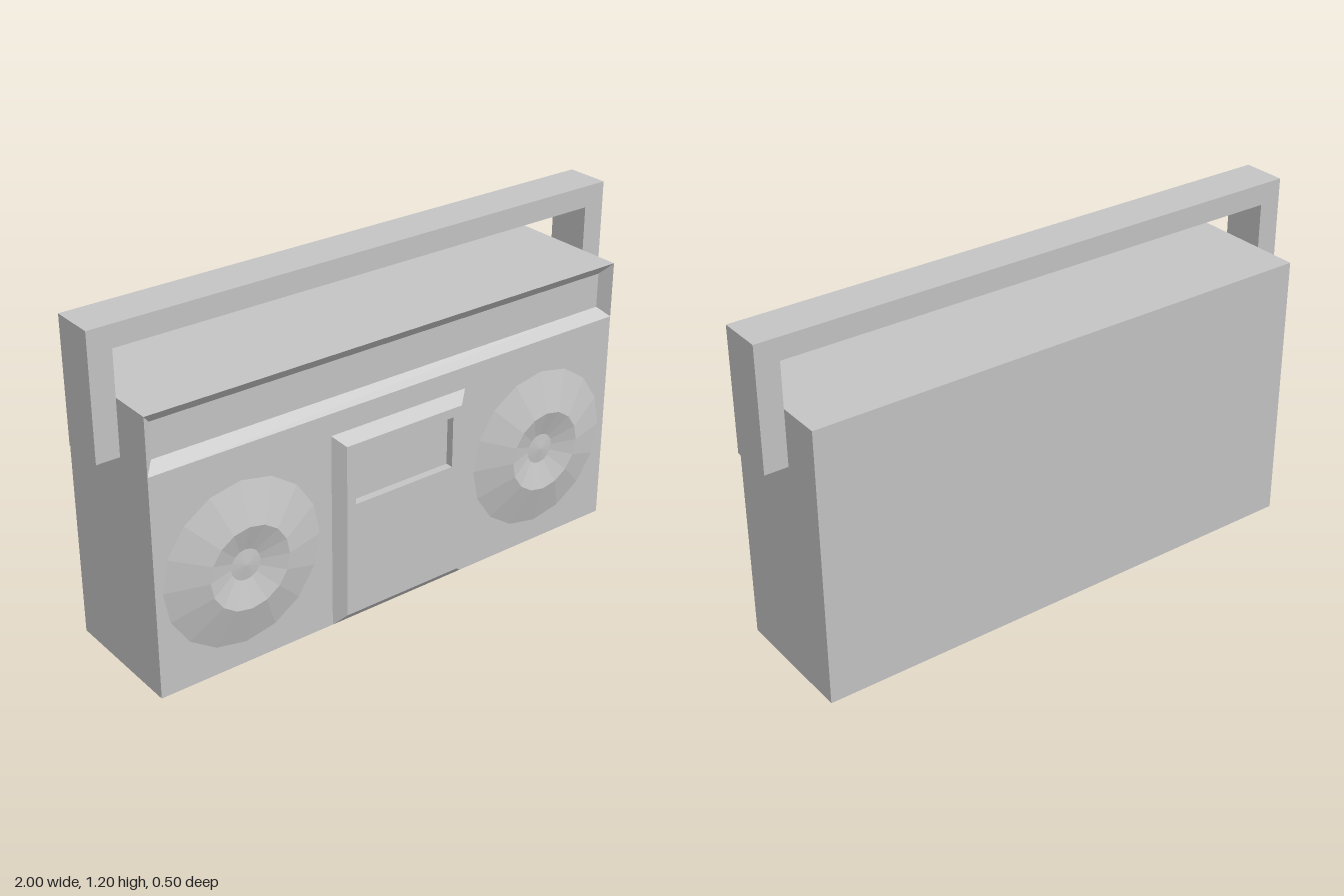
import * as THREE from 'three';

// Joins rectangles [x0, x1, y0, y1, z] into a flat-faced skin, closed at the last one.
function loftRects(rects, closeBack) {
  const pos = [];
  const corners = ([x0, x1, y0, y1, z]) =>
    [[x0, y0, z], [x1, y0, z], [x1, y1, z], [x0, y1, z]].map((p) => new THREE.Vector3(...p));
  const tri = (a, b, c) => {
    const area = b.clone().sub(a).cross(c.clone().sub(a)).length();
    if (area > 1e-9) for (const p of [a, b, c]) pos.push(p.x, p.y, p.z);
  };
  const quad = (a, b, c, d) => { tri(a, b, c); tri(a, c, d); };
  const rings = rects.map(corners);
  for (let r = 0; r < rings.length - 1; r++) {
    const a = rings[r], b = rings[r + 1];
    for (let i = 0; i < 4; i++) {
      const j = (i + 1) % 4;
      quad(a[i], a[j], b[j], b[i]);
    }
  }
  quad(...rings[rings.length - 1]);
  if (closeBack) quad(...rings[0].slice().reverse());
  const geo = new THREE.BufferGeometry();
  geo.setAttribute('position', new THREE.Float32BufferAttribute(pos, 3));
  geo.computeVertexNormals();
  return geo;
}

export function createModel() {
  const group = new THREE.Group();
  const grey = new THREE.MeshStandardMaterial({ color: 0xc4c4c4, flatShading: true });
  grey.name = 'light grey';
  const add = (name, geo) => {
    const mesh = new THREE.Mesh(geo, grey);
    mesh.name = name;
    group.add(mesh);
    return mesh;
  };

  // Case with a bevelled recess along the top of the front
  add('case', loftRects([
    [-0.92, 0.92, 0, 0.965, -0.25],
    [-0.92, 0.92, 0, 0.965, 0.21],
    [-0.92, 0.92, 0.77, 0.965, 0.21],
    [-0.885, 0.885, 0.803, 0.925, 0.175],
  ], true));

  // Raised cassette panel with a sunken window
  add('cassettePanel', loftRects([
    [-0.27, 0.27, 0, 0.693, 0.21],
    [-0.232, 0.232, 0.036, 0.655, 0.24],
    [-0.197, 0.197, 0.44, 0.622, 0.24],
    [-0.197, 0.197, 0.44, 0.622, 0.212],
  ], false));

  // Speakers: raised rim, dished cone, shallow centre cap
  const profile = [[0.288, 0.21], [0.145, 0.25], [0.054, 0.222], [0, 0.228]];
  const cone = new THREE.LatheGeometry(profile.map(([r, z]) => new THREE.Vector2(r, z)), 16);
  cone.rotateX(Math.PI / 2);
  for (const side of [-1, 1]) {
    const speaker = add(side > 0 ? 'leftSpeaker' : 'rightSpeaker', cone);
    speaker.position.set(side * 0.606, 0.366, 0);
  }

  // Carrying handle, one square-cornered arch gripping both sides
  const arch = new THREE.Shape([
    [-1, 0.772], [-0.92, 0.772], [-0.92, 1.12], [0.92, 1.12],
    [0.92, 0.772], [1, 0.772], [1, 1.195], [-1, 1.195],
  ].map(([x, y]) => new THREE.Vector2(x, y)));
  const handle = new THREE.ExtrudeGeometry(arch, { depth: 0.154, bevelEnabled: false });
  handle.translate(0, 0, -0.095);
  add('handle', handle);

  return group;
}
